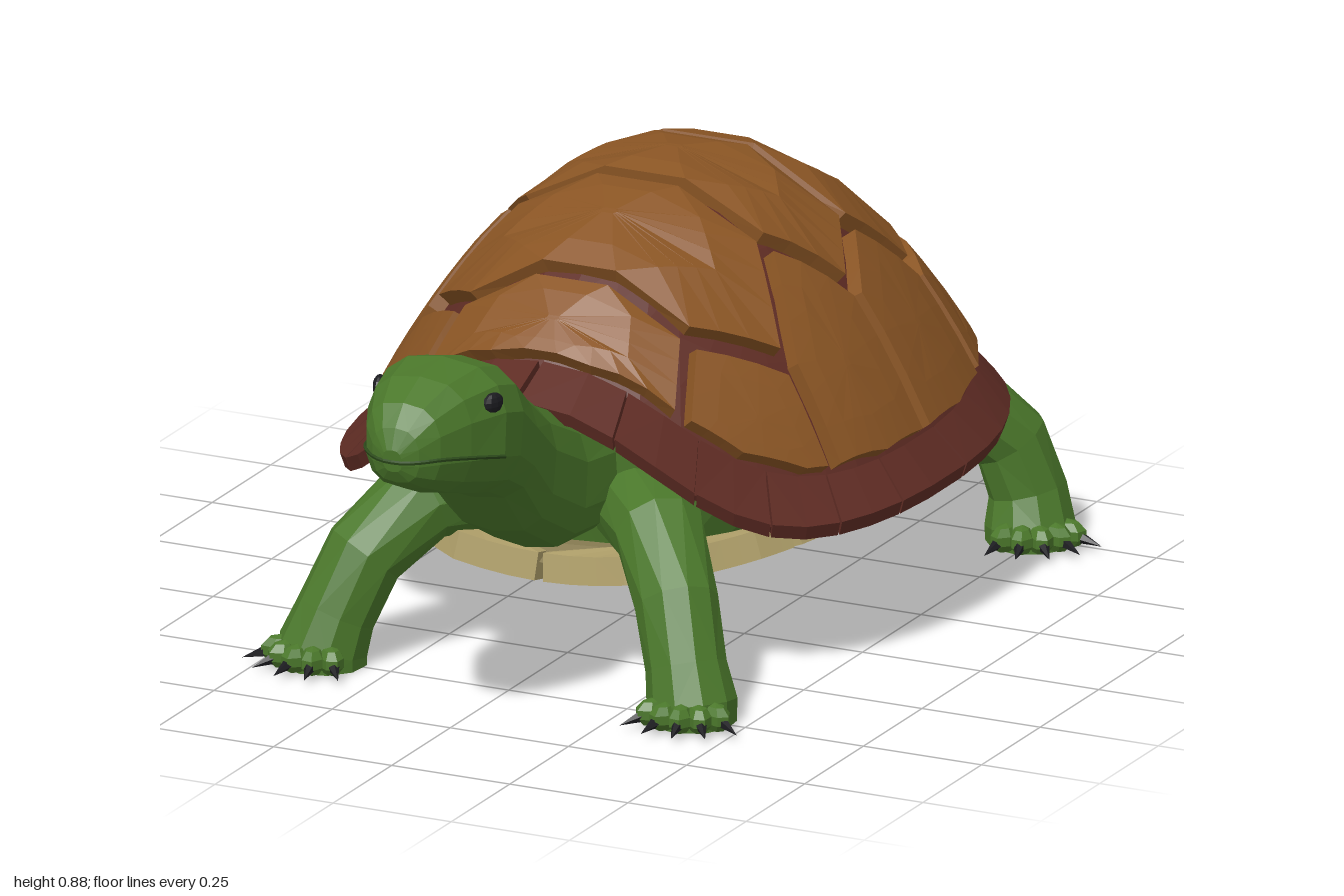
import * as THREE from 'three';

const V = (x, y, z) => new THREE.Vector3(x, y, z);
const mat = (color) => new THREE.MeshStandardMaterial({ color, flatShading: true });
const MID = -0.2; // z of the shell's centre
const N = 2.4; // squareness of the shell outline

// Closed solid through rings of equal point count, wound to face outward
function loft(rings) {
  const n = rings[0].length, pts = rings.flat(), idx = [];
  for (let i = 0; i + 1 < rings.length; i++)
    for (let j = 0; j < n; j++) {
      const a = i * n + j, b = i * n + (j + 1) % n, c = a + n, d = b + n;
      // split each quad along its shorter diagonal
      if (pts[a].distanceTo(pts[d]) < pts[b].distanceTo(pts[c])) idx.push(a, b, d, a, d, c);
      else idx.push(a, b, c, b, d, c);
    }
  const centre = (ring) => ring.reduce((s, p) => s.add(p), V(0, 0, 0)).divideScalar(n);
  const last = (rings.length - 1) * n, c = pts.length;
  const all = [...pts, centre(rings[0]), centre(rings[rings.length - 1])];
  for (let j = 0; j < n; j++) {
    const k = (j + 1) % n;
    idx.push(c, k, j, c + 1, last + j, last + k);
  }
  let volume = 0;
  for (let i = 0; i < idx.length; i += 3)
    volume += all[idx[i]].dot(V(0, 0, 0).crossVectors(all[idx[i + 1]], all[idx[i + 2]]));
  if (volume < 0) idx.reverse();
  const g = new THREE.BufferGeometry().setFromPoints(all);
  g.setIndex(idx);
  const flat = g.toNonIndexed();
  flat.computeVertexNormals();
  return flat;
}

// Squarish oval with different front and rear lengths; t = 0 is the front
const spow = (v, p) => Math.sign(v) * Math.abs(v) ** p;
function oval(t, [a, front, rear], s = 1) {
  const c = spow(Math.cos(t), 2 / N);
  return [a * s * spow(Math.sin(t), 2 / N), MID + c * s * (c > 0 ? front : rear)];
}
const circle = (n, fn) => Array.from({ length: n }, (_, i) => fn((i / n) * Math.PI * 2));

// Shell edge rises toward the neck
const innerY = (c) => 0.362 + (c > 0 ? 0.243 * c ** 5 : 0.065 * c * c);
const outerY = (c) => 0.287 + (c > 0 ? 0.263 * c ** 6 : 0.025 * c * c);
const DOME = [0.52, 0.56, 0.615], INNER = [0.53, 0.575, 0.63], OUTER = [0.585, 0.67, 0.7];
const BELLY = [0.47, 0.6, 0.66];

function radius(x, z, [a, front, rear]) {
  const v = (z - MID) / (z > MID ? front : rear);
  const r = (Math.abs(x / a) ** N + Math.abs(v) ** N) ** (1 / N);
  return [r, r < 1e-6 ? 0 : spow(v / r, N / 2)];
}
function domeY(x, z) {
  const [r, c] = radius(x, z, DOME), e = innerY(c);
  return e + (0.85 - e) * (1 - r ** 2.2);
}
const bellyY = (x, z) => 0.157 + 0.13 * (x / 0.48) ** 2 + 0.06 * Math.abs((z - MID) / 0.6) ** 2.5;

// Point lifted off a height surface along its normal
function lift(height, x, z, h) {
  const d = 0.01;
  const nx = (height(x - d, z) - height(x + d, z)) / (2 * d);
  const nz = (height(x, z - d) - height(x, z + d)) / (2 * d);
  return V(nx, 1, nz).normalize().multiplyScalar(h).add(V(x, height(x, z), z));
}

// Raised plate over a plan polygon, every edge moved in to leave a seam
function plate(poly, height, base, top, gap) {
  const p = poly.map(([x, z]) => new THREE.Vector2(x, z)), n = p.length;
  const mid = p.reduce((s, q) => s.add(q), new THREE.Vector2()).divideScalar(n);
  const inward = p.map((q, i) => {
    const e = p[(i + 1) % n].clone().sub(q).normalize(), m = new THREE.Vector2(-e.y, e.x);
    return m.dot(mid.clone().sub(q)) < 0 ? m.negate() : m;
  });
  const ring = (inset, scale, h) => {
    const corners = p.map((q, i) => {
      const a = inward[(i + n - 1) % n], b = inward[i];
      return q.clone().addScaledVector(a.clone().add(b), inset / (1 + a.dot(b)));
    });
    return corners.flatMap((q, i) => [0, 1 / 3, 2 / 3].map((f) => {
      const k = q.clone().lerp(corners[(i + 1) % n], f).sub(mid).multiplyScalar(scale).add(mid);
      return lift(height, k.x, k.y, h);
    }));
  };
  return loft([ring(gap, 1, base), ring(gap + 0.004, 1, top), ring(gap, 0.6, top), ring(gap, 0.05, top)]);
}

export function createModel() {
  const model = new THREE.Group();
  const brown = mat(0x8a5524), red = mat(0x5f2c24), green = mat(0x4b782b);
  const cream = mat(0xb0a06a), seam = mat(0x857950), dark = mat(0x1c1c20), mouthGreen = mat(0x2c4a1b);
  const group = (name) => {
    const g = new THREE.Group();
    g.name = name;
    model.add(g);
    return g;
  };
  const add = (name, geometry, material, parent = model) => {
    const m = new THREE.Mesh(geometry, material);
    m.name = name;
    parent.add(m);
    return m;
  };

  // Shell dome under the scutes
  add('shellBase', loft([1, 0.9, 0.78, 0.64, 0.5, 0.35, 0.2, 0.05].map((s) =>
    circle(40, (t) => { const [x, z] = oval(t, DOME, s); return V(x, domeY(x, z), z); }))), red);

  // Scutes: five along the spine, four down each side
  const R = (x, z) => {
    const k = 1.01 / radius(x, z, DOME)[0];
    return [x * k, MID + (z - MID) * k];
  };
  const spine = [
    [R(0.1, 0.36), R(0.26, 0.31), [0.22, 0.2]],
    [[0.22, 0.2], [0.36, 0.06], [0.24, -0.07]],
    [[0.24, -0.07], [0.36, -0.2], [0.28, -0.33]],
    [[0.28, -0.33], [0.35, -0.48], [0.22, -0.63]],
    [[0.22, -0.63], R(0.24, -0.78), R(0.1, -0.83)],
  ];
  const sides = [
    [R(0.26, 0.31), R(0.36, 0.25), R(0.46, 0.16), R(0.5, 0.1), [0.36, 0.06], [0.22, 0.2]],
    [[0.36, 0.06], R(0.5, 0.1), R(0.53, -0.05), R(0.53, -0.2), [0.36, -0.2], [0.24, -0.07]],
    [[0.36, -0.2], R(0.53, -0.2), R(0.53, -0.36), R(0.5, -0.52), [0.35, -0.48], [0.28, -0.33]],
    [[0.35, -0.48], R(0.5, -0.52), R(0.43, -0.66), R(0.34, -0.74), R(0.24, -0.78), [0.22, -0.63]],
  ];
  const mirror = (poly) => poly.map(([x, z]) => [-x, z]);
  const scutes = group('scutes');
  for (const half of spine)
    add('spineScute', plate([...half, ...mirror(half).reverse()], domeY, -0.02, 0.03, 0.011), brown, scutes);
  for (const p of sides)
    for (const poly of [p, mirror(p)]) add('sideScute', plate(poly, domeY, -0.02, 0.03, 0.011), brown, scutes);

  // Rim of separate plates over a continuous core
  const rim = group('shellRim');
  const at = (t, dims, s, y) => { const [x, z] = oval(t, dims, s); return V(x, y(Math.cos(t)), z); };
  add('rimCore', loft([
    [INNER, 0.94, (c) => innerY(c)], [OUTER, 0.98, (c) => outerY(c) + 0.012],
    [OUTER, 0.97, (c) => outerY(c)], [INNER, 0.93, (c) => innerY(c) - 0.04],
  ].map(([dims, s, y]) => circle(46, (t) => at(t, dims, s, y)))), red, rim);
  const plates = 23, step = (Math.PI * 2) / plates;
  for (let i = 0; i < plates; i++)
    add('rimPlate', loft([0.014, 0.5, 0.986].map((f) => {
      const t = (i + f) * step;
      return [at(t, INNER, 0.98, (c) => innerY(c) + 0.012), at(t, OUTER, 1, (c) => outerY(c) + 0.02),
        at(t, OUTER, 0.985, (c) => outerY(c) - 0.008), at(t, INNER, 0.94, (c) => innerY(c) - 0.05)];
    })), red, rim);

  // Body between shell and belly plates
  const bodyRing = (s, y) => circle(40, (t) => {
    const [x, z] = oval(t, DOME, s);
    return V(x, y(x, z, innerY(Math.cos(t))), z);
  });
  add('body', loft([
    bodyRing(0.88, (x, z, e) => e + 0.03), bodyRing(0.95, (x, z, e) => e - 0.04),
    bodyRing(0.93, (x, z, e) => 0.3 + 0.35 * (e - 0.362)), bodyRing(0.85, (x, z) => bellyY(x, z) + 0.015),
  ]), green);

  // Belly plates in four mirrored pairs
  const belly = group('bellyPlates');
  add('bellyBase', loft([[0.85, 0.04], [0.93, 0.005], [0.7, 0.005], [0.4, 0.005], [0.05, 0.005]].map(([s, y]) =>
    circle(32, (t) => { const [x, z] = oval(t, BELLY, s); return V(x, bellyY(x, z) + y, z); }))), seam, belly);
  const bellyX = (z) => {
    const v = Math.abs(z - MID) / (z > MID ? BELLY[1] : BELLY[2]);
    return BELLY[0] * (1 - v ** N) ** (1 / N);
  };
  const rows = [0.375, 0.12, -0.18, -0.5, -0.84];
  for (let i = 0; i < 4; i++) {
    const z = (f) => rows[i] + (rows[i + 1] - rows[i]) * f;
    const poly = [[0, rows[i]], ...[0, 0.33, 0.67, 1].map((f) => [bellyX(z(f)), z(f)]), [0, rows[i + 1]]];
    for (const p of [poly, mirror(poly)]) add('bellyPlate', plate(p, bellyY, 0.025, -0.03, 0.005), cream, belly);
  }

  // Neck and head: top z, y, bottom z, y, half width
  const neck = [
    [0.2, 0.52, 0.2, 0.26, 0.15], [0.4, 0.54, 0.43, 0.265, 0.125], [0.52, 0.595, 0.57, 0.34, 0.122],
    [0.62, 0.66, 0.66, 0.435, 0.13], [0.7, 0.73, 0.74, 0.47, 0.14], [0.78, 0.752, 0.8, 0.485, 0.14],
    [0.88, 0.742, 0.88, 0.51, 0.112], [0.95, 0.71, 0.95, 0.54, 0.08], [0.985, 0.67, 0.98, 0.56, 0.05],
    [1, 0.63, 0.995, 0.585, 0.02],
  ];
  const neckPoint = ([zt, yt, zb, yb, w], t) => {
    const f = (1 - spow(Math.cos(t), 0.75)) / 2;
    return V(w * spow(Math.sin(t), 0.75), yt + (yb - yt) * f, zt + (zb - zt) * f);
  };
  const head = group('head');
  add('neckAndHead', loft(neck.map((s) => circle(14, (t) => neckPoint(s, t)))), green, head);
  const line = [5, 6, 7, 8, 9].map((i) => neckPoint(neck[i], Math.PI * (0.51 + (9 - i) * 0.015)));
  const mouth = [...line, ...line.map((p) => V(-p.x, p.y, p.z)).reverse()];
  add('mouth', new THREE.TubeGeometry(new THREE.CatmullRomCurve3(mouth), 30, 0.004, 5), mouthGreen, head);
  for (const s of [1, -1]) {
    const eye = add('eye', new THREE.SphereGeometry(0.026, 10, 7), dark, head);
    eye.position.set(s * 0.12, 0.685, 0.81);
    eye.scale.set(0.5, 0.8, 1);
    eye.rotation.y = -s * 0.3;
  }

  // Tail
  add('tail', loft([[-0.72, 0.31, 0.05], [-0.82, 0.287, 0.038], [-0.9, 0.275, 0.027], [-1, 0.285, 0.005]]
    .map(([z, y, r]) => circle(7, (t) => V(r * Math.sin(t), y + r * Math.cos(t), z)))), green);

  // Legs: x, y, z, radius down the limb, and the heading of the toes
  const leg = (name, path, heading, side) => {
    const g = group(name);
    const c = path.map(([x, y, z]) => V(x * side, y, z));
    add('limb', loft(c.map((p, i) => {
      const dir = c[Math.min(i + 1, c.length - 1)].clone().sub(c[Math.max(i - 1, 0)]).normalize();
      const u = V(0, 0, 0).crossVectors(dir, V(side, 0, 0.6)).normalize();
      const w = V(0, 0, 0).crossVectors(dir, u);
      const r = path[i][3];
      return circle(10, (t) => p.clone().addScaledVector(u, r * Math.cos(t)).addScaledVector(w, r * Math.sin(t)));
    })), green, g);
    const foot = c[c.length - 1];
    for (let i = -2; i <= 2; i++) {
      const a = heading + i * 0.42, d = V(side * Math.sin(a), 0, Math.cos(a));
      const toe = add('toe', new THREE.SphereGeometry(0.032, 7, 5), green, g);
      toe.position.copy(foot).addScaledVector(d, 0.08).setY(0.029);
      toe.scale.set(0.8, 0.9, 1.3);
      toe.rotation.y = side * a;
      const claw = add('claw', new THREE.ConeGeometry(0.011, 0.045, 5), dark, g);
      claw.position.copy(foot).addScaledVector(d, 0.133).setY(0.018);
      claw.quaternion.setFromUnitVectors(V(0, 1, 0), d.setY(-0.25).normalize());
    }
  };
  const front = [[0.13, 0.33, 0.22, 0.1], [0.25, 0.31, 0.36, 0.088], [0.33, 0.21, 0.45, 0.08],
    [0.37, 0.1, 0.49, 0.078], [0.39, 0.035, 0.505, 0.087], [0.39, 0, 0.505, 0.085]];
  const rear = [[0.26, 0.32, -0.56, 0.09], [0.38, 0.29, -0.67, 0.08], [0.45, 0.2, -0.73, 0.076],
    [0.48, 0.1, -0.745, 0.076], [0.49, 0.035, -0.735, 0.087], [0.49, 0, -0.735, 0.085]];
  for (const s of [1, -1]) {
    const label = s > 0 ? 'Left' : 'Right';
    leg('front' + label + 'Leg', front, 0.2, s);
    leg('rear' + label + 'Leg', rear, 0.7, s);
  }
  return model;
}
